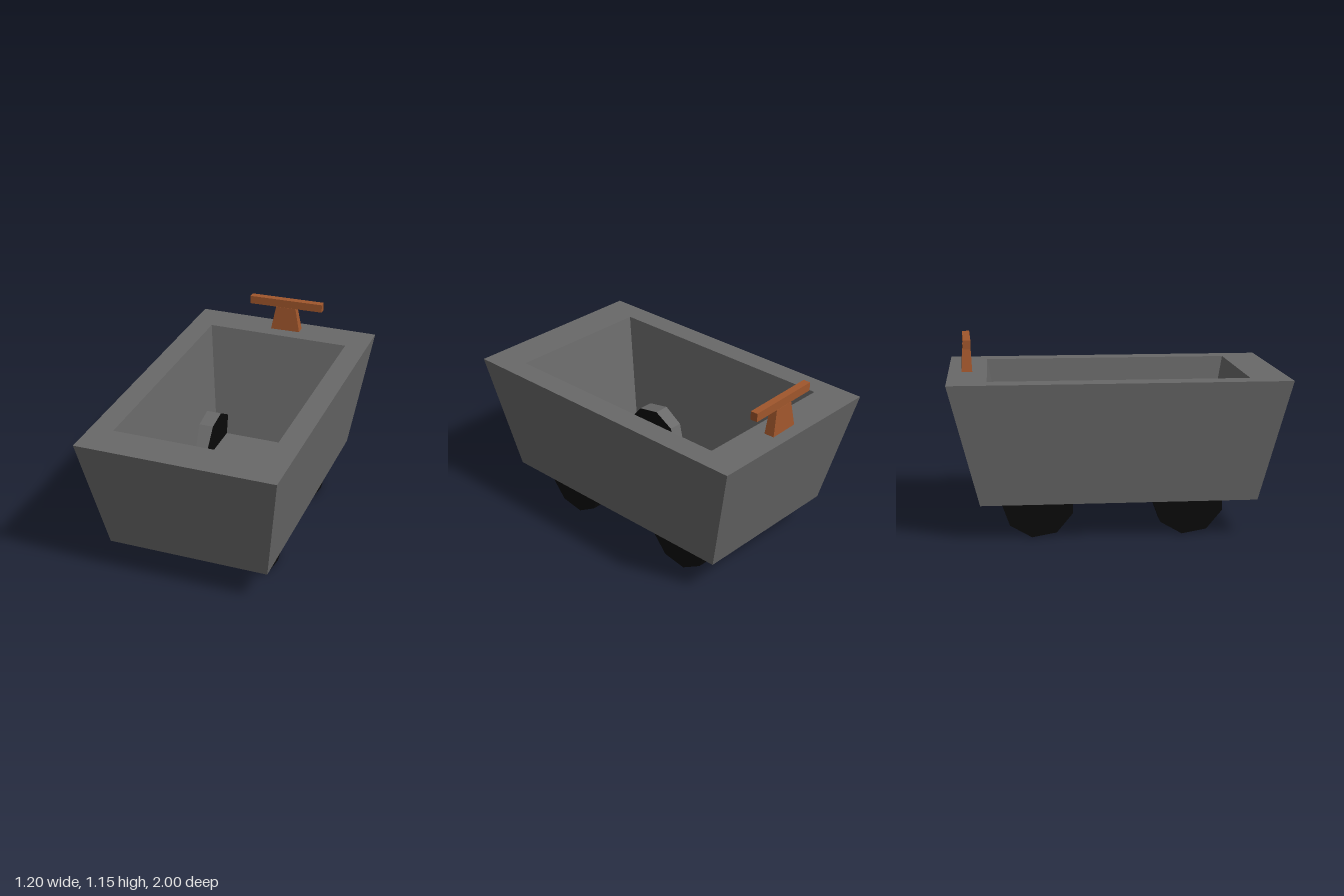
import * as THREE from 'three';

const paint = (color) => new THREE.MeshStandardMaterial({ color, flatShading: true });
const iron = paint(0x696969);
const rubber = paint(0x0a0a0a);
const wood = paint(0xa0562c);

function addMesh(parent, name, geometry, material) {
  const mesh = new THREE.Mesh(geometry, material);
  mesh.name = name;
  parent.add(mesh);
  return mesh;
}

// Joins rectangular rings [halfX, y, halfZ] in order and closes both ends.
function rectLoft(rings) {
  const corners = rings.map(([x, y, z]) => [[-x, y, z], [x, y, z], [x, y, -z], [-x, y, -z]]);
  const positions = [];
  const quad = (a, b, c, d) => positions.push(...a, ...b, ...c, ...a, ...c, ...d);
  for (let i = 0; i < corners.length - 1; i++) {
    const low = corners[i];
    const high = corners[i + 1];
    for (let k = 0; k < 4; k++) {
      const n = (k + 1) % 4;
      quad(low[k], low[n], high[n], high[k]);
    }
  }
  const first = corners[0];
  quad(first[3], first[2], first[1], first[0]);
  quad(...corners[corners.length - 1]);
  const geometry = new THREE.BufferGeometry();
  geometry.setAttribute('position', new THREE.Float32BufferAttribute(positions, 3));
  geometry.computeVertexNormals();
  return geometry;
}

// Nine-sided wheel; the upper tread may have its own material or be left open.
function makeWheel(name, upperMaterial) {
  const radius = 0.218;
  const width = 0.123;
  const step = (Math.PI * 2) / 9;
  const wheel = new THREE.Group();
  wheel.name = name;
  const tread = (sides, start) =>
    new THREE.CylinderGeometry(radius, radius, width, sides, 1, true, start, sides * step)
      .rotateZ(-Math.PI / 2);
  addMesh(wheel, 'lowerTread', tread(4, step / 2), rubber);
  if (upperMaterial) addMesh(wheel, 'upperTread', tread(5, Math.PI), upperMaterial);
  for (const side of [-1, 1]) {
    const cap = new THREE.CircleGeometry(radius, 9, side > 0 ? 0 : step / 2)
      .rotateY((side * Math.PI) / 2)
      .translate((side * width) / 2, 0, 0);
    addMesh(wheel, 'wheelSide', cap, rubber);
  }
  return wheel;
}

export function createModel() {
  const cart = new THREE.Group();
  cart.name = 'mineCart';

  // Tapered tub: outer walls, rim, inner walls and floor
  addMesh(cart, 'tub', rectLoft([
    [0.492, 0.215, 0.82],
    [0.6, 0.943, 1],
    [0.462, 0.943, 0.768],
    [0.377, 0.22, 0.628],
  ]), iron);

  // Wheels, partly reaching up through the floor
  const wheels = [
    ['frontLeftWheel', 0.347, 0.415, null],
    ['backLeftWheel', 0.347, -0.48, rubber],
    ['frontRightWheel', -0.365, 0.415, iron],
    ['backRightWheel', -0.365, -0.48, iron],
  ];
  for (const [name, x, z, upper] of wheels) {
    const wheel = makeWheel(name, upper);
    wheel.position.set(x, 0.215, z);
    cart.add(wheel);
  }

  // T-shaped handle on the back rim, turned slightly
  const handle = new THREE.Group();
  handle.name = 'handle';
  handle.position.set(0.022, 0.94, -0.89);
  handle.rotation.y = 0.03;
  addMesh(handle, 'handlePost', rectLoft([[0.097, 0, 0.032], [0.066, 0.16, 0.024]]), wood);
  addMesh(handle, 'handleBar', new THREE.BoxGeometry(0.486, 0.052, 0.045), wood).position.y = 0.186;
  cart.add(handle);

  return cart;
}
